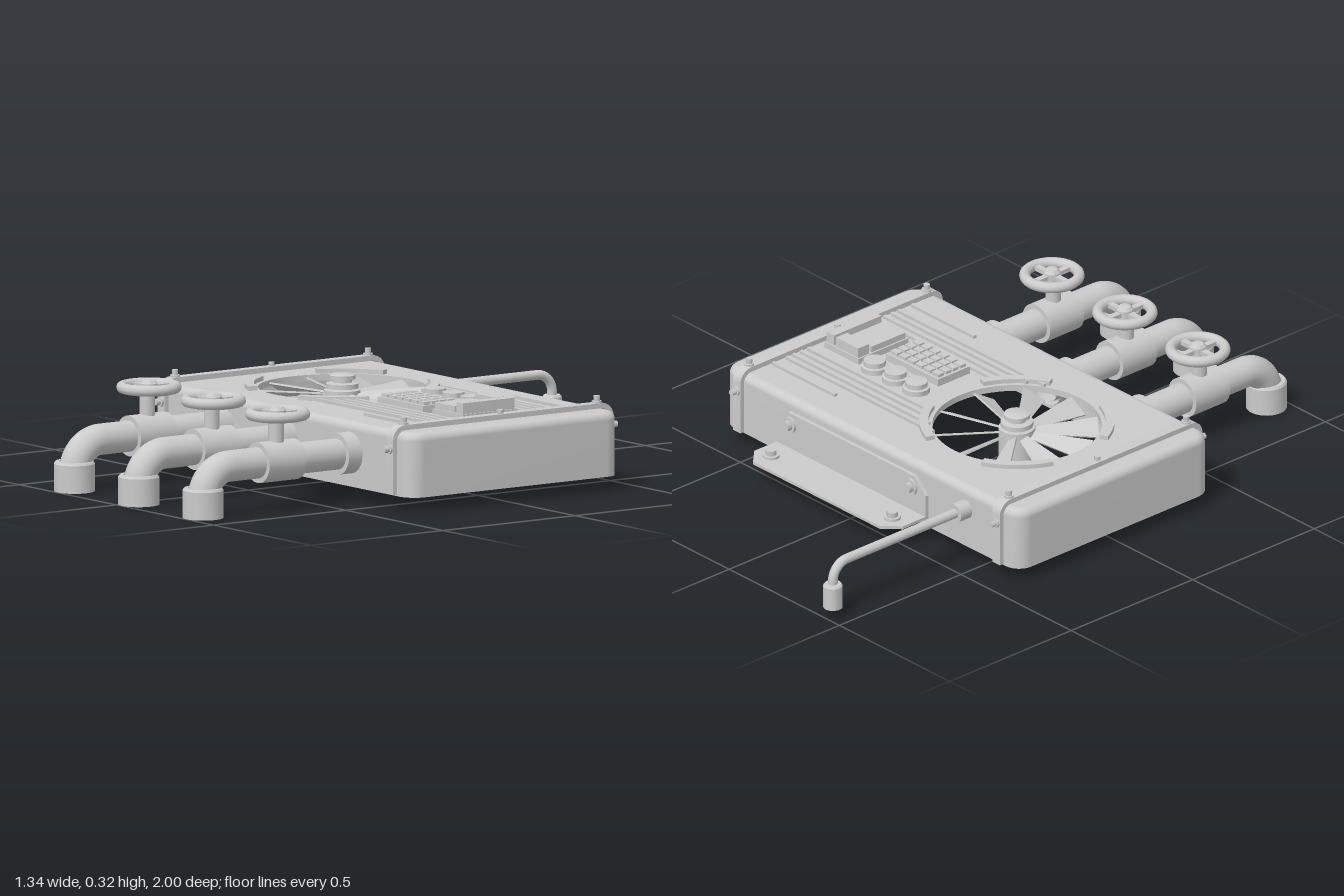
import * as THREE from 'three';
import { toCreasedNormals } from 'three/addons/utils/BufferGeometryUtils.js';

const mat = new THREE.MeshStandardMaterial({ color: 0xcccccc, side: THREE.DoubleSide });

function add(parent, name, geometry, x = 0, y = 0, z = 0) {
  const mesh = new THREE.Mesh(geometry, mat);
  mesh.name = name;
  mesh.position.set(x, y, z);
  parent.add(mesh);
  return mesh;
}
const box = (w, h, d) => new THREE.BoxGeometry(w, h, d);
const cyl = (r, h, n = 24, open = false) => new THREE.CylinderGeometry(r, r, h, n, 1, open);
const cylZ = (r, h, n = 24, open = false) => cyl(r, h, n, open).rotateX(Math.PI / 2);
const lathe = (pts, n = 28) =>
  toCreasedNormals(new THREE.LatheGeometry(pts.map(p => new THREE.Vector2(...p)), n), 0.6);

// Rounded rectangle loop in plan, shrunk by an inset
const BODY = { x: 0.67, z0: -0.42, z1: 0.38, r: 0.055, bottom: 0.045, top: 0.243 };
function bodyLoop(inset) {
  const pts = [], r = BODY.r - inset;
  const cx = BODY.x - BODY.r, cz = (BODY.z1 - BODY.z0) / 2 - BODY.r, mid = (BODY.z0 + BODY.z1) / 2;
  [[1, 1], [-1, 1], [-1, -1], [1, -1]].forEach(([sx, sz], q) => {
    for (let i = 0; i <= 6; i++) {
      const a = (q + i / 6) * Math.PI / 2;
      pts.push(new THREE.Vector2(sx * cx + r * Math.cos(a), mid + sz * cz + r * Math.sin(a)));
    }
  });
  return pts;
}

// Side walls with a filleted upper edge, lofted from loops
function wallGeometry() {
  const f = 0.025, rows = [[BODY.bottom, 0]];
  for (let i = 0; i <= 5; i++) {
    const a = i / 5 * Math.PI / 2;
    rows.push([BODY.top - f + f * Math.sin(a), f * (1 - Math.cos(a))]);
  }
  const pos = [], idx = [];
  let n = 0;
  rows.forEach(([y, inset], k) => {
    const loop = bodyLoop(inset);
    n = loop.length;
    loop.forEach(p => pos.push(p.x, y, p.y));
    if (k) for (let i = 0; i < n; i++) {
      const a = (k - 1) * n + i, b = (k - 1) * n + (i + 1) % n;
      idx.push(a, a + n, b, b, a + n, b + n);
    }
  });
  const g = new THREE.BufferGeometry();
  g.setAttribute('position', new THREE.Float32BufferAttribute(pos, 3));
  g.setIndex(idx);
  g.computeVertexNormals();
  return g;
}

// Flat plate from corner points, thickness along +z
const plate = (pts, depth) => new THREE.ExtrudeGeometry(
  new THREE.Shape(pts.map(p => new THREE.Vector2(...p))), { depth, bevelEnabled: false });

// Pipe running along z, then turning down
function bentPipe(y, z0, zBend, zEnd, yEnd, r) {
  const v = (a, b) => new THREE.Vector3(0, a, b);
  const path = new THREE.CurvePath();
  const drop = Math.abs(zEnd - zBend);
  path.add(new THREE.LineCurve3(v(y, z0), v(y, zBend)));
  path.add(new THREE.CubicBezierCurve3(v(y, zBend), v(y, zBend + (zEnd - zBend) * 0.55),
    v(y - drop * 0.45, zEnd), v(y - drop, zEnd)));
  path.add(new THREE.LineCurve3(v(y - drop, zEnd), v(yEnd, zEnd)));
  return new THREE.TubeGeometry(path, 70, r, 24);
}

function bolt(parent, x, y, z, axis = 'y', r = 0.022) {
  const g = new THREE.Group();
  g.name = 'bolt';
  add(g, 'washer', cyl(r, 0.008, 20), 0, 0.004, 0);
  add(g, 'boltHead', cyl(r * 0.7, 0.02, 6), 0, 0.014, 0);
  g.position.set(x, y, z);
  if (axis === 'z') g.rotation.x = Math.PI / 2;
  if (axis === '-z') g.rotation.x = -Math.PI / 2;
  parent.add(g);
}

function tapPipe() {
  const g = new THREE.Group();
  g.name = 'valvePipe';
  add(g, 'pipe', bentPipe(0.15, 0.33, 0.84, 0.936, 0.04, 0.048));
  add(g, 'wallCollar', cylZ(0.064, 0.06), 0, 0.15, 0.4);
  add(g, 'innerSleeve', cylZ(0.06, 0.05, 24, true), 0, 0.15, 0.36);
  add(g, 'valveBody', cylZ(0.063, 0.14), 0, 0.15, 0.66);
  add(g, 'outlet', lathe([[0.046, 0.09], [0.056, 0], [0.063, 0], [0.063, 0.085], [0.058, 0.092], [0.046, 0.092]]), 0, 0, 0.936);
  add(g, 'stem', cyl(0.024, 0.12), 0, 0.235, 0.66);
  const wheel = new THREE.Group();
  wheel.name = 'handWheel';
  wheel.position.set(0, 0.294, 0.654);
  add(wheel, 'rim', new THREE.TorusGeometry(0.083, 0.017, 12, 36).rotateX(Math.PI / 2));
  for (let i = 0; i < 2; i++) add(wheel, 'spoke', box(0.16, 0.014, 0.02)).rotation.y = i * Math.PI / 2;
  add(wheel, 'wheelHub', lathe([[0, -0.017], [0.026, -0.017], [0.026, 0.012], [0.018, 0.022], [0, 0.026]], 20));
  g.add(wheel);
  return g;
}

function fan() {
  const g = new THREE.Group();
  g.name = 'fan';
  const blade = plate([[0.04, -0.012], [0.25, -0.038], [0.25, 0.038], [0.04, 0.012]], 0.006).rotateX(-Math.PI / 2 + 0.5);
  for (let i = 0; i < 10; i++)
    add(g, 'blade', blade, 0, 0.215, 0).rotation.y = Math.PI / 2 + i * Math.PI / 5;
  add(g, 'motor', lathe([[0.046, 0.09], [0.056, 0.09], [0.056, 0.235], [0.03, 0.24], [0, 0.24], [0.046, 0.22], [0.046, 0.09]]));
  add(g, 'fanHub', lathe([[0, 0.24], [0.05, 0.24], [0.05, 0.255], [0.03, 0.258], [0.03, 0.268],
    [0.04, 0.268], [0.04, 0.28], [0.03, 0.284], [0, 0.284]]));
  add(g, 'rimLip', cyl(0.258, 0.02, 64, true), 0, 0.233, 0);
  // Raised guard arcs at the four diagonals
  for (let q = 0; q < 4; q++) {
    const a = q * Math.PI / 2 + 0.46, b = a + 0.76, s = new THREE.Shape();
    s.absarc(0, 0, 0.298, a, b, false);
    s.absarc(0, 0, 0.27, b, a, true);
    s.closePath();
    add(g, 'guardArc', new THREE.ExtrudeGeometry(s, { depth: 0.016, bevelEnabled: false, curveSegments: 14 })
      .rotateX(-Math.PI / 2), 0, 0.241, 0);
  }
  g.position.set(-0.225, 0, -0.02);
  return g;
}

// Band wrapping front, top and back of the body
function strap(x) {
  const g = new THREE.Group();
  g.name = 'strap';
  const s = new THREE.Shape();
  const edge = (z0, z1, top, r, flip) => {
    const pts = [[z0, 0.05]];
    for (let i = 0; i <= 6; i++) {
      const a = Math.PI - i / 6 * Math.PI / 2;
      pts.push([z0 + r + r * Math.cos(a), top - r + r * Math.sin(a)]);
    }
    for (let i = 0; i <= 6; i++) {
      const a = Math.PI / 2 - i / 6 * Math.PI / 2;
      pts.push([z1 - r + r * Math.cos(a), top - r + r * Math.sin(a)]);
    }
    pts.push([z1, 0.05]);
    return (flip ? pts.reverse() : pts).map(p => new THREE.Vector2(...p));
  };
  s.setFromPoints([...edge(-0.437, 0.397, 0.262, 0.045), ...edge(-0.422, 0.382, 0.246, 0.03, true)]);
  const band = new THREE.ExtrudeGeometry(s, { depth: 0.034, bevelEnabled: false }).rotateY(-Math.PI / 2).translate(0.017, 0, 0);
  add(g, 'band', toCreasedNormals(band, 0.5));
  for (const z of [-0.385, -0.02, 0.345]) bolt(g, 0, z === -0.02 ? 0.25 : 0.26, z, 'y', 0.015);
  bolt(g, 0, 0.19, 0.396, 'z', 0.015);
  bolt(g, 0, 0.19, -0.436, '-z', 0.015);
  g.position.x = x;
  return g;
}

export function createModel() {
  const model = new THREE.Group();
  model.name = 'pipeUnit';

  // Open-bottomed housing
  add(model, 'housingWalls', wallGeometry());
  const top = new THREE.Shape(bodyLoop(0.025));
  const hole = new THREE.Path();
  hole.absarc(-0.225, -0.02, 0.258, 0, Math.PI * 2, true);
  top.holes.push(hole);
  const lid = new THREE.ShapeGeometry(top, 32).rotateX(Math.PI / 2);
  lid.setIndex(Array.from(lid.index.array).reverse());
  lid.computeVertexNormals();
  add(model, 'housingTop', lid, 0, BODY.top, 0);
  model.add(fan(), strap(-0.59), strap(0.587));

  // Louvre ribs, starting clear of the fan
  for (const [z, x0] of [[-0.306, 0.28], [-0.25, -0.1], [-0.222, -0.05], [-0.192, 0], [-0.162, 0.03],
    [0.122, 0.03], [0.152, 0], [0.182, -0.05], [0.21, -0.1], [0.266, 0.28]])
    add(model, 'louvreRib', box(0.565 - x0, 0.03, 0.012), (0.565 + x0) / 2, 0.238, z);

  // Control panel: knobs, keypad and switch box
  for (const x of [0.143, 0.237, 0.332])
    add(model, 'knob', lathe([[0, 0.24], [0.042, 0.24], [0.042, 0.26], [0.034, 0.262], [0.034, 0.278], [0, 0.28]]), x, 0, -0.1);
  add(model, 'keypadBase', box(0.235, 0.028, 0.132), 0.237, 0.253, 0.034);
  for (let i = 0; i < 6; i++) for (let j = 0; j < 4; j++)
    add(model, 'key', box(0.03, 0.014, 0.023), 0.143 + i * 0.0376, 0.27, -0.011 + j * 0.03);
  add(model, 'switchBase', box(0.155, 0.025, 0.205), 0.467, 0.25, -0.012);
  add(model, 'switchBoxRear', box(0.1, 0.05, 0.045), 0.445, 0.27, -0.088);
  add(model, 'switchBoxFront', box(0.1, 0.04, 0.14), 0.445, 0.262, 0.015);
  add(model, 'switchBar', box(0.034, 0.053, 0.195), 0.523, 0.27, -0.012);

  // Three valve pipes on the front
  for (const x of [-0.303, 0.028, 0.359]) {
    const p = tapPipe();
    p.position.x = x;
    model.add(p);
  }

  // Angle bracket on the back
  const bracket = new THREE.Group();
  bracket.name = 'backBracket';
  const w = 0.337, outline = h => [[-w, 0], [w, 0], [w, h - 0.05], [w - 0.05, h], [-w + 0.05, h], [-w, h - 0.05]];
  add(bracket, 'uprightPlate', plate(outline(0.13), 0.012), 0, 0.073, -0.432);
  add(bracket, 'flatPlate', plate(outline(0.145), 0.01).rotateX(-Math.PI / 2), 0, 0.073, -0.43);
  for (const x of [-0.275, 0.275]) {
    bolt(bracket, x, 0.083, -0.512, 'y', 0.026);
    bolt(bracket, x, 0.165, -0.432, '-z', 0.026);
  }
  bracket.position.x = 0.073;
  model.add(bracket);

  // Thin drain pipe on the back
  const drain = new THREE.Group();
  drain.name = 'drainPipe';
  add(drain, 'thinPipe', bentPipe(0.172, -0.4, -0.91, -0.966, 0.06, 0.015));
  add(drain, 'flange', cylZ(0.03, 0.05), 0, 0.172, -0.44);
  add(drain, 'nozzle', lathe([[0.014, 0.1], [0.024, 0.027], [0.03, 0.027], [0.03, 0.1], [0.025, 0.107], [0.014, 0.107]], 20), 0, 0, -0.966);
  drain.position.x = -0.433;
  model.add(drain);

  return model;
}
